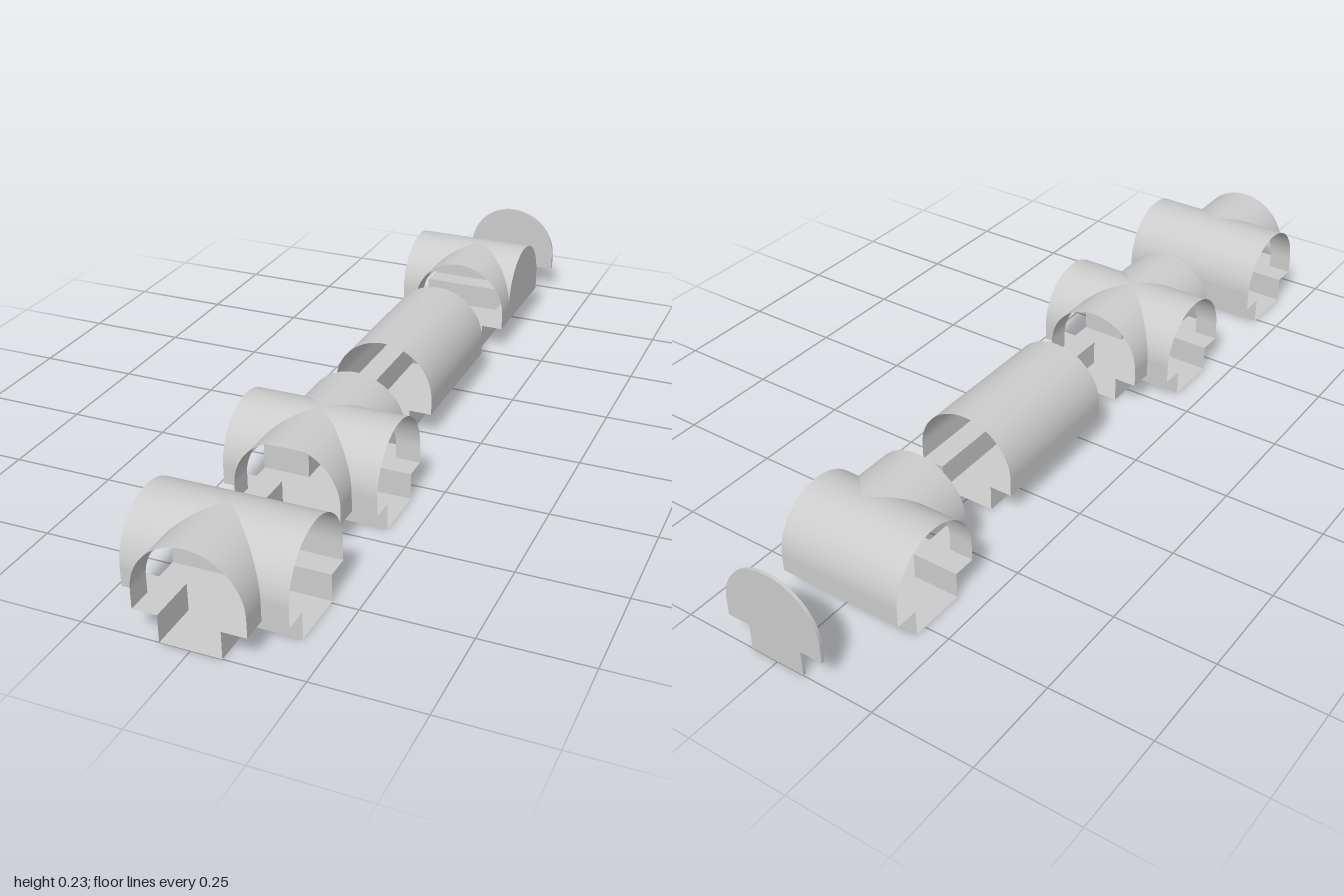
import * as THREE from 'three';

const R = 0.127;       // vault radius and half width
const SPRING = 0.108;  // height where the arch begins
const LEDGE = 0.065;   // walkway height
const CH = 0.07;       // half width of the channel
const ARM = 0.187;     // arm length from the middle of a junction

const grey = new THREE.MeshStandardMaterial({ color: 0xcccccc, side: THREE.DoubleSide });

// half profiles, from the middle outward
const vaultProfile = [];
for (let i = 0; i <= 28; i++) {
  const a = (i / 28) * Math.PI / 2;
  vaultProfile.push([R * Math.sin(a), SPRING + R * Math.cos(a)]);
}
vaultProfile.push([R, LEDGE]);
const channelProfile = [[0, 0], [CH, 0], [CH, LEDGE], [R, LEDGE]];

function mesh(geometry, name) {
  const m = new THREE.Mesh(geometry, grey);
  m.name = name;
  return m;
}

// sweeps a half profile along +z; a mitred side starts on the diagonal
function strip(profile, side, mitred, lengthAt, smooth) {
  const pos = [], nor = [], idx = [];
  profile.forEach(([x, y], i) => {
    const end = lengthAt(x, y);
    const start = mitred ? Math.min(x, end) : 0;
    pos.push(side * x, y, start, side * x, y, end);
    const n = new THREE.Vector3(side * x, Math.max(y - SPRING, 0), 0).normalize();
    nor.push(n.x, n.y, n.z, n.x, n.y, n.z);
    if (i === profile.length - 1) return;
    const a = 2 * i, b = a + 1, c = a + 2, d = a + 3;
    if (side > 0) idx.push(a, b, c, c, b, d);
    else idx.push(a, c, b, c, d, b);
  });
  const g = new THREE.BufferGeometry();
  g.setAttribute('position', new THREE.Float32BufferAttribute(pos, 3));
  g.setIndex(idx);
  if (smooth) {
    g.setAttribute('normal', new THREE.Float32BufferAttribute(nor, 3));
    return g;
  }
  const flat = g.toNonIndexed();
  flat.computeVertexNormals();
  return flat;
}

// outline of the tunnel opening, with or without the channel below
function openingShape(withChannel) {
  const s = new THREE.Shape();
  s.moveTo(R, LEDGE);
  s.lineTo(R, SPRING);
  s.absarc(0, SPRING, R, 0, Math.PI, false);
  s.lineTo(-R, LEDGE);
  if (withChannel) {
    s.lineTo(-CH, LEDGE);
    s.lineTo(-CH, 0);
    s.lineTo(CH, 0);
    s.lineTo(CH, LEDGE);
  }
  s.closePath();
  return s;
}

// arms: quarter turns from +z (0 = +z, 1 = +x, 2 = -z, 3 = -x); stub: arm closed off short
function tunnel(name, z, arms, stub = -1) {
  const piece = new THREE.Group();
  piece.name = name;
  piece.position.z = z;
  for (const q of arms) {
    const arm = new THREE.Group();
    arm.name = 'arm';
    arm.rotation.y = q * Math.PI / 2;
    const closed = q === stub;
    for (const side of [1, -1]) {
      const mitred = arms.includes((q + side + 4) % 4);
      arm.add(mesh(strip(vaultProfile, side, mitred, () => closed ? R : ARM, true), 'vault'));
      // floor, channel wall and ledge
      for (let i = 0; i < 3; i++) {
        const length = closed ? (i === 2 ? R : CH) : ARM;
        if (mitred && i === 1 && closed) continue;
        const part = channelProfile.slice(i, i + 2);
        arm.add(mesh(strip(part, side, mitred, () => length, false), ['floor', 'channelWall', 'ledge'][i]));
      }
    }
    if (closed) {
      const wall = mesh(new THREE.ShapeGeometry(openingShape(false), 28), 'endWall');
      wall.position.z = R;
      const step = mesh(new THREE.PlaneGeometry(2 * CH, LEDGE), 'channelEnd');
      step.rotation.y = Math.PI;
      step.position.set(0, LEDGE / 2, CH);
      const ledge = mesh(new THREE.PlaneGeometry(2 * CH, R - CH), 'endLedge');
      ledge.rotation.x = -Math.PI / 2;
      ledge.position.set(0, LEDGE, (R + CH) / 2);
      arm.add(wall, step, ledge);
    }
    piece.add(arm);
  }
  return piece;
}

export function createModel() {
  const model = new THREE.Group();
  model.name = 'tunnelSet';
  model.add(
    tunnel('teeJunction', 0.813, [0, 1, 3]),
    tunnel('crossJunction', 0.378, [0, 1, 2, 3]),
    tunnel('straightTunnel', -0.165, [0, 2]),
    tunnel('cornerTunnel', -0.707, [0, 1, 3], 1)
  );
  // thin plate that closes a tunnel
  const plate = mesh(new THREE.ExtrudeGeometry(openingShape(true),
    { depth: 0.008, bevelEnabled: false, curveSegments: 48 }), 'endPlate');
  plate.position.z = -1;
  model.add(plate);
  return model;
}
